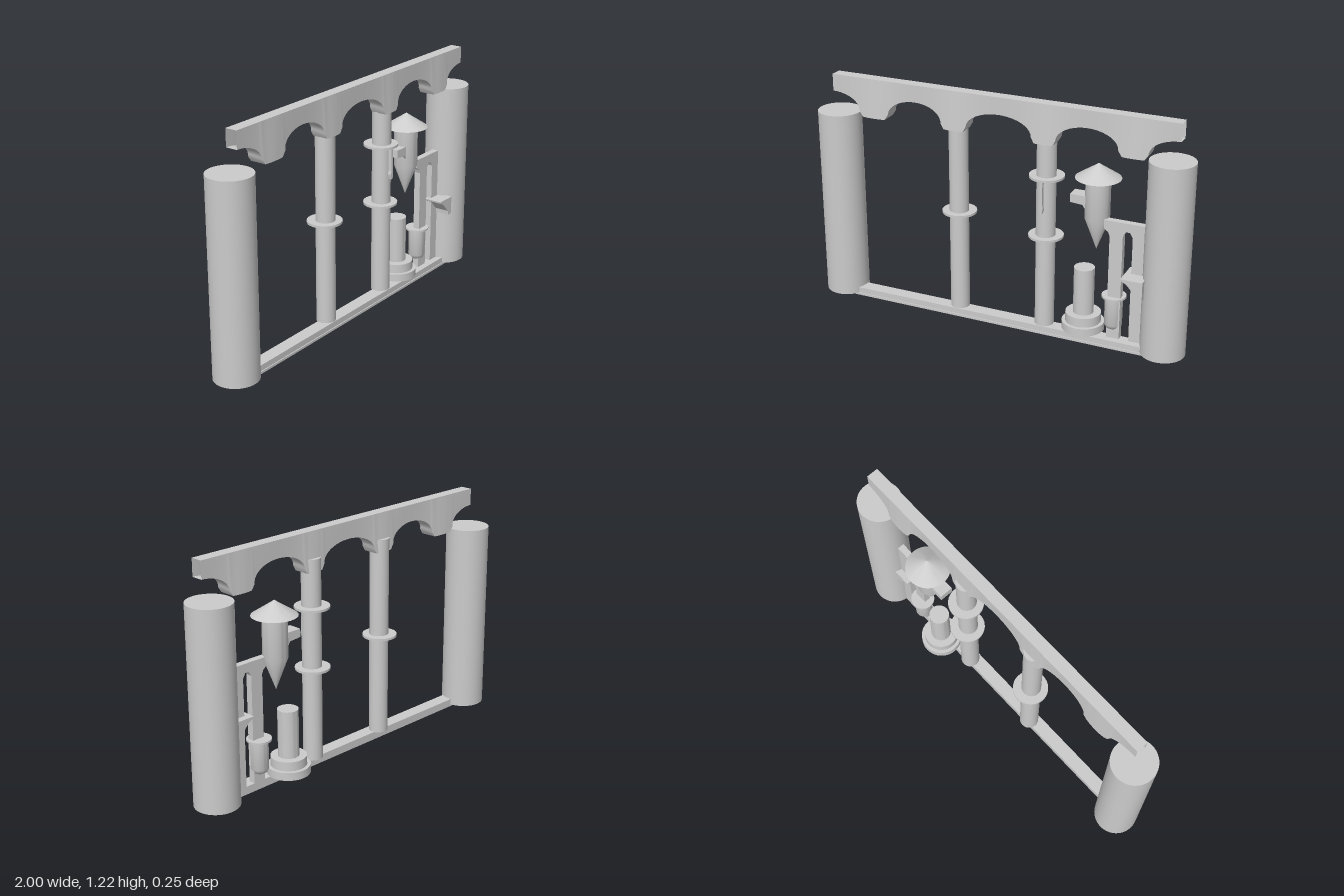
import * as THREE from 'three';
import { toCreasedNormals } from 'three/addons/utils/BufferGeometryUtils.js';

export function createModel() {
  const model = new THREE.Group();
  const solid = new THREE.MeshStandardMaterial({ color: 0xcccccc });
  const thin = new THREE.MeshStandardMaterial({ color: 0xcccccc, side: THREE.DoubleSide });

  const add = (name, geometry, x = 0, y = 0, z = 0, material = solid) => {
    const mesh = new THREE.Mesh(geometry, material);
    mesh.name = name;
    mesh.position.set(x, y, z);
    model.add(mesh);
    return mesh;
  };
  // upright cylinder between two heights
  const cylinder = (name, r, y0, y1, x, z, sides = 40) =>
    add(name, new THREE.CylinderGeometry(r, r, y1 - y0, sides), x, (y0 + y1) / 2, z);
  // box given by its limits
  const box = (name, x0, x1, y0, y1, z0, z1) =>
    add(name, new THREE.BoxGeometry(x1 - x0, y1 - y0, z1 - z0), (x0 + x1) / 2, (y0 + y1) / 2, (z0 + z1) / 2);
  // turned part with crisp edges
  const turned = (name, profile, x, z) => {
    const g = new THREE.LatheGeometry(profile.map(([r, y]) => new THREE.Vector2(r, y)), 40);
    return add(name, toCreasedNormals(g, 0.6), x, 0, z);
  };
  // flat outline in x/y pushed from z0 to z1
  const plate = (name, outline, z0, z1) => {
    const shape = new THREE.Shape(outline.map(([x, y]) => new THREE.Vector2(x, y)));
    return add(name, new THREE.ExtrudeGeometry(shape, { depth: z1 - z0, bevelEnabled: false }), 0, 0, z0);
  };

  // end pillars
  for (const side of [-1, 1]) {
    cylinder(side < 0 ? 'rightPillar' : 'leftPillar', 0.1125, 0.01, 1.015, side * 0.8875, 0.013, 48);
  }

  // base rail and the thin strip under it
  box('baseRail', -0.79, 0.79, 0.006, 0.042, 0, 0.07);
  box('baseStrip', -0.83, 0.83, 0, 0.012, 0, 0.075);

  // arched beam: hollow, open at both ends
  add('archedBeam', archedBeam(), 0, 0, 0, thin);

  // inner columns with collars
  for (const [x, collars] of [[-0.21, [0.572]], [0.262, [0.84, 0.525]]]) {
    cylinder('column', 0.049, 0.04, 1.085, x, 0.018);
    for (const y of collars) cylinder('collar', 0.088, y - 0.006, y + 0.006, x, 0.013);
  }
  // small fin below the upper collar
  plate('columnFin', [[0.256, 0.835], [0.256, 0.71], [0.252, 0.69], [0.257, 0.665], [0.267, 0.665],
    [0.272, 0.69], [0.268, 0.71], [0.268, 0.835]], 0.05, 0.085);

  // hanging turret: conical roof, round body, pointed foot
  turned('turretRoof', [[0, 0.865], [0.113, 0.865], [0.06, 0.9], [0, 0.94]], 0.52, -0.006);
  turned('turretBody', [[0, 0.49], [0.062, 0.655], [0.062, 0.868]], 0.52, -0.006);
  plate('turretBracket', [[0.39, 0.73], [0.455, 0.725], [0.475, 0.695], [0.5, 0.695], [0.5, 0.772], [0.39, 0.772]], -0.04, 0.03);

  // stepped drum, open underneath
  turned('drum', [[0.108, 0.04], [0.108, 0.082], [0.09, 0.082], [0.09, 0.13], [0.052, 0.13],
    [0.052, 0.375], [0, 0.375]], 0.458, -0.017);

  // two-legged frame beside the left pillar
  plate('frame', [[0.6, 0.04], [0.667, 0.04], [0.667, 0.6], [0.682, 0.625], [0.702, 0.625], [0.717, 0.6],
    [0.717, 0.04], [0.775, 0.04], [0.775, 0.67], [0.57, 0.67], [0.57, 0.625], [0.592, 0.61], [0.6, 0.59]], 0, 0.035);

  // flanged pot around the outer leg
  turned('pot', [[0, 0.08], [0.02, 0.083], [0.037, 0.094], [0.045, 0.112], [0.045, 0.257], [0.062, 0.257],
    [0.062, 0.267], [0, 0.267]], 0.625, 0.006);

  // curved corbel shelf on the left pillar
  plate('corbel', [[0.688, 0.412], [0.69, 0.403], [0.72, 0.388], [0.745, 0.36], [0.768, 0.338], [0.77, 0.315],
    [0.8, 0.315], [0.8, 0.412]], -0.035, 0.113);

  return model;
}

// Lofted four-point sections along x: straight top edge, arched lower edge flaring at the piers
function archedBeam() {
  const top = 1.218, crown = 1.13, spring = 1.045, foot = 1.018;
  const piers = [[-0.735, -0.575], [-0.28, -0.145], [0.2, 0.325], [0.64, 0.785]];
  const lower = [];
  // elliptical arc between two angles, as [x, y, flare]
  const arc = (cx, rx, a0, a1, n) => {
    for (let i = 0; i <= n; i++) {
      const a = a0 + (a1 - a0) * i / n;
      const y = spring + (crown - spring) * Math.sin(a);
      lower.push([cx + rx * Math.cos(a), y, 0.011 * (crown - y) / (crown - spring)]);
    }
  };
  arc(-0.89, piers[0][0] + 0.89, Math.PI / 2, 0, 10);
  piers.forEach(([x0, x1], i) => {
    // foot of the pier, slightly narrower than its shoulders
    const w = x1 - x0;
    for (const [t, flare] of [[0.12, 0.011], [0.3, 0.015], [0.5, 0.016], [0.7, 0.015], [0.88, 0.011]]) {
      lower.push([x0 + t * w, foot, flare]);
    }
    if (i < 3) {
      const next = piers[i + 1][0];
      arc((x1 + next) / 2, (next - x1) / 2, Math.PI, 0, 20);
    } else {
      arc(0.935, 0.935 - x1, Math.PI, Math.PI / 2, 10);
    }
  });

  const positions = [], index = [];
  lower.forEach(([x, y, flare], i) => {
    positions.push(x, top, 0, x, top, 0.062, x, y, 0.062 + flare, x, y, -flare);
    if (i === 0) return;
    for (let k = 0; k < 4; k++) {
      const a = (i - 1) * 4 + k, b = (i - 1) * 4 + (k + 1) % 4;
      index.push(a, b, a + 4, b, b + 4, a + 4);
    }
  });
  const g = new THREE.BufferGeometry();
  g.setAttribute('position', new THREE.Float32BufferAttribute(positions, 3));
  g.setIndex(index);
  return toCreasedNormals(g, 0.6);
}
